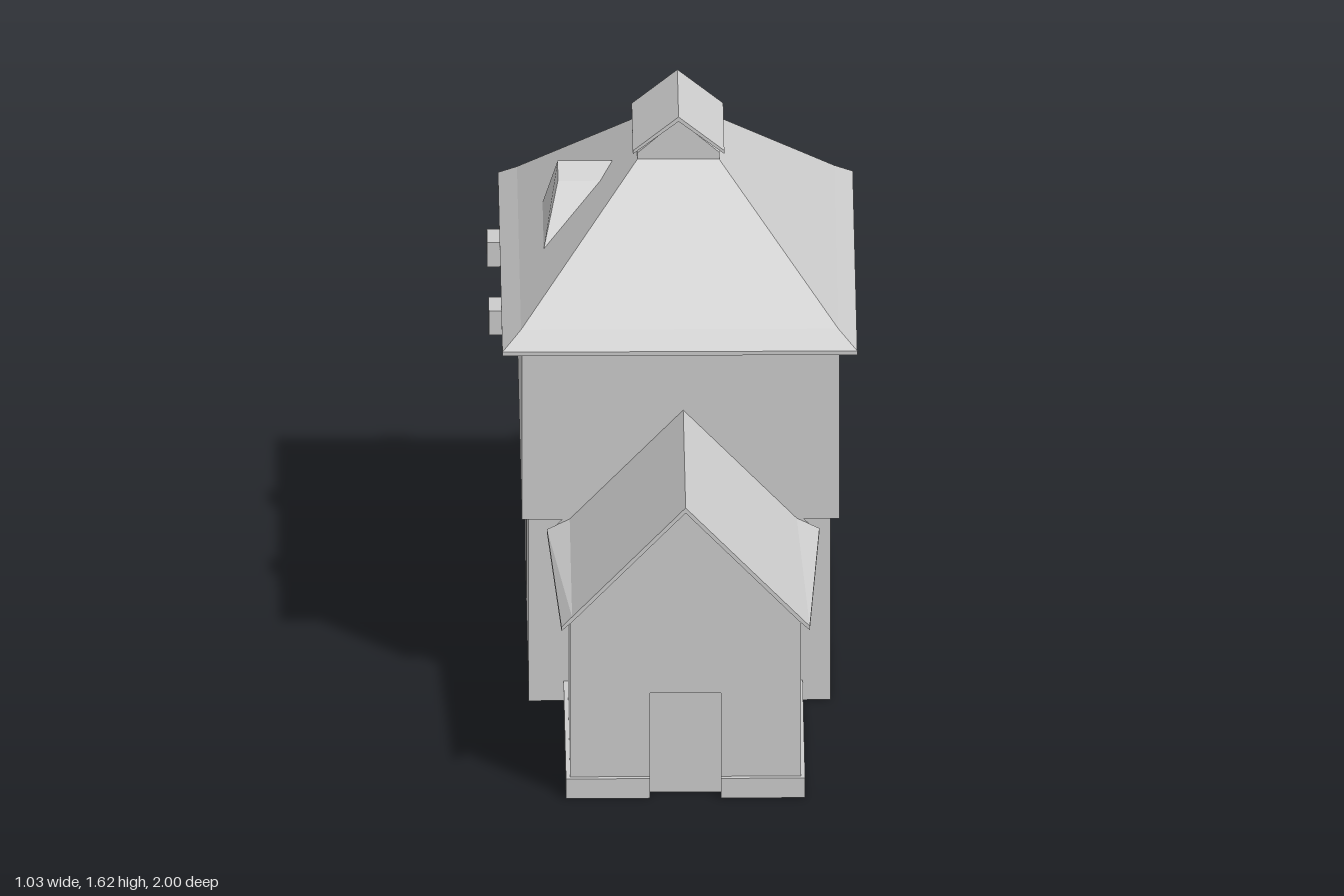
import * as THREE from 'three';

const mat = new THREE.MeshStandardMaterial({ color: 0xcccccc, flatShading: true, side: THREE.DoubleSide });

export function createModel() {
  const model = new THREE.Group();
  const CX = 0.025; // centre line of the annex

  const add = (name, geo) => {
    const mesh = new THREE.Mesh(geo, mat);
    mesh.name = name;
    model.add(mesh);
    return mesh;
  };
  // box from its limits
  const box = (name, x0, x1, y0, y1, z0, z1) =>
    add(name, new THREE.BoxGeometry(x1 - x0, y1 - y0, z1 - z0)
      .translate((x0 + x1) / 2, (y0 + y1) / 2, (z0 + z1) / 2));
  const shape = (pts) => new THREE.Shape(pts.map(([a, b]) => new THREE.Vector2(a, b)));
  // [x, y] outline extruded along z
  const extrudeZ = (pts, z0, z1, holes = []) => {
    const s = shape(pts);
    s.holes = holes.map(shape);
    return new THREE.ExtrudeGeometry(s, { depth: z1 - z0, bevelEnabled: false }).translate(0, 0, z0);
  };
  // [z, y] outline extruded along x
  const extrudeX = (pts, x0, x1) =>
    extrudeZ(pts.map(([z, y]) => [-z, y]), x0, x1).rotateY(Math.PI / 2);
  // mirrored outline: right half from top to bottom, then left half back up
  const mirrored = (half, cx) => [
    ...half.map(([x, y]) => [cx + x, y]),
    ...[...half].reverse().filter(([x]) => x > 0).map(([x, y]) => [cx - x, y]),
  ];
  const polys = (faces) => {
    const out = [];
    for (const f of faces)
      for (let i = 1; i < f.length - 1; i++) out.push(...f[0], ...f[i], ...f[i + 1]);
    const g = new THREE.BufferGeometry();
    g.setAttribute('position', new THREE.Float32BufferAttribute(out, 3));
    g.computeVertexNormals();
    return g;
  };

  // Lower storey, with a doorway recessed into its side
  box('lowerStorey', -0.355, 0.44, 0, 0.57, -0.875, 0.26);
  add('sideDoorWall', extrudeX([
    [-0.875, 0], [-0.57, 0], [-0.57, 0.355], [-0.335, 0.355], [-0.335, 0],
    [0.26, 0], [0.26, 0.57], [-0.875, 0.57]], -0.41, -0.355));
  box('sideDoorSill', -0.41, -0.355, 0, 0.006, -0.57, -0.335);

  // Overhanging upper storey
  box('upperStorey', -0.43, 0.465, 0.567, 1.09, -0.905, 0.29);

  // Hipped main roof with flared eaves, lofted from rectangular rings
  const ring = (x0, x1, z0, z1, y) => [[x0, y, z1], [x1, y, z1], [x1, y, z0], [x0, y, z0]];
  const rings = [
    ring(-0.485, 0.515, -0.965, 0.34, 1.088),
    ring(-0.485, 0.515, -0.965, 0.34, 1.1),
    ring(-0.432, 0.462, -0.905, 0.28, 1.143),
    ring(-0.1, 0.13, -0.46, -0.155, 1.48),
  ];
  const roofFaces = [[...rings[0]].reverse(), rings[3]];
  for (let r = 0; r < 3; r++)
    for (let i = 0; i < 4; i++) {
      const j = (i + 1) % 4;
      roofFaces.push([rings[r][i], rings[r][j], rings[r + 1][j], rings[r + 1][i]]);
    }
  add('mainRoof', polys(roofFaces));

  // Ridge lantern: gabled neck under a small pitched cap
  add('lanternNeck', extrudeZ(
    mirrored([[0, 1.6], [0.115, 1.5], [0.115, 1.47]], 0.016), -0.46, -0.155));
  add('lanternCap', extrudeZ(
    [[0.016, 1.617], [0.145, 1.514], [0.145, 1.504], [0.016, 1.603], [-0.113, 1.504], [-0.113, 1.514]],
    -0.48, -0.135));

  // Dormer with flared cheeks
  const ridgeF = [-0.323, 1.41, -0.312], ridgeB = [-0.165, 1.41, -0.312];
  const cheek = (s) => ({
    foot: [-0.365, 1.207, -0.312 + s * 0.173],
    front: [-0.323, 1.375, -0.312 + s * 0.063],
    back: [-0.2, 1.375, -0.312 + s * 0.063],
  });
  const a = cheek(1), b = cheek(-1);
  add('dormer', polys([
    [ridgeF, b.front, b.foot, a.foot, a.front],
    [a.foot, a.back, a.front], [a.front, a.back, ridgeB, ridgeF],
    [b.front, b.back, b.foot], [ridgeF, ridgeB, b.back, b.front],
  ]));

  // Projecting beam ends below the eaves
  for (const z of [-0.56, -0.065]) box('sideBeam', -0.52, -0.42, 1.003, 1.077, z - 0.05, z + 0.05);
  for (const x of [-0.165, 0.21]) box('backBeam', x - 0.035, x + 0.035, 1.005, 1.08, -1, -0.9);

  // Shallow bay with a sloped top on the back wall
  add('backBay', extrudeX([
    [-0.9, 0.568], [-0.955, 0.568], [-0.955, 0.965], [-0.905, 1.0], [-0.9, 1.0]], -0.21, 0.247));

  // Framed back windows
  const rect = (x, w, y0, y1) => [[x - w, y0], [x + w, y0], [x + w, y1], [x - w, y1]];
  for (const x of [-0.13, 0.18]) {
    add('windowFrame', extrudeZ(rect(x, 0.054, 0.147, 0.375), -0.885, -0.87,
      [rect(x, 0.037, 0.165, 0.357)]));
    box('windowPane', x - 0.038, x + 0.038, 0.164, 0.358, -0.877, -0.87);
  }

  // Front annex, with a recessed doorway in its gable wall
  const gable = [[0.35, 0.56], [CX, 0.885], [-0.3, 0.56]];
  add('annexBody', extrudeZ([[-0.3, 0], [0.35, 0], ...gable], 0.25, 0.925));
  add('annexFrontWall', extrudeZ([
    [-0.3, 0], [-0.075, 0], [-0.075, 0.315], [0.125, 0.315], [0.125, 0], [0.35, 0], ...gable],
    0.925, 0.955));
  box('annexPlinth', -0.312, -0.075, 0, 0.06, 0.25, 0.97);
  box('annexPlinth', 0.125, 0.362, 0, 0.06, 0.25, 0.97);

  // Annex roof: bent slab whose eaves spread wider toward the house
  const annexRoof = extrudeZ([
    ...mirrored([[0, 0.9], [0.32, 0.568], [0.35, 0.537], [0.35, 0.525], [0.32, 0.552]], 0).slice(0, 5),
    [0, 0.884], [-0.32, 0.552], [-0.35, 0.525], [-0.35, 0.537], [-0.32, 0.568]], 0.29, 1);
  const p = annexRoof.attributes.position;
  for (let i = 0; i < p.count; i++) {
    const x = p.getX(i);
    if (Math.abs(x) > 0.34) p.setX(i, Math.sign(x) * (0.35 + 0.034 * (1 - p.getZ(i)) / 0.71));
  }
  annexRoof.translate(CX, 0, 0).computeVertexNormals();
  add('annexRoof', annexRoof);

  return model;
}
